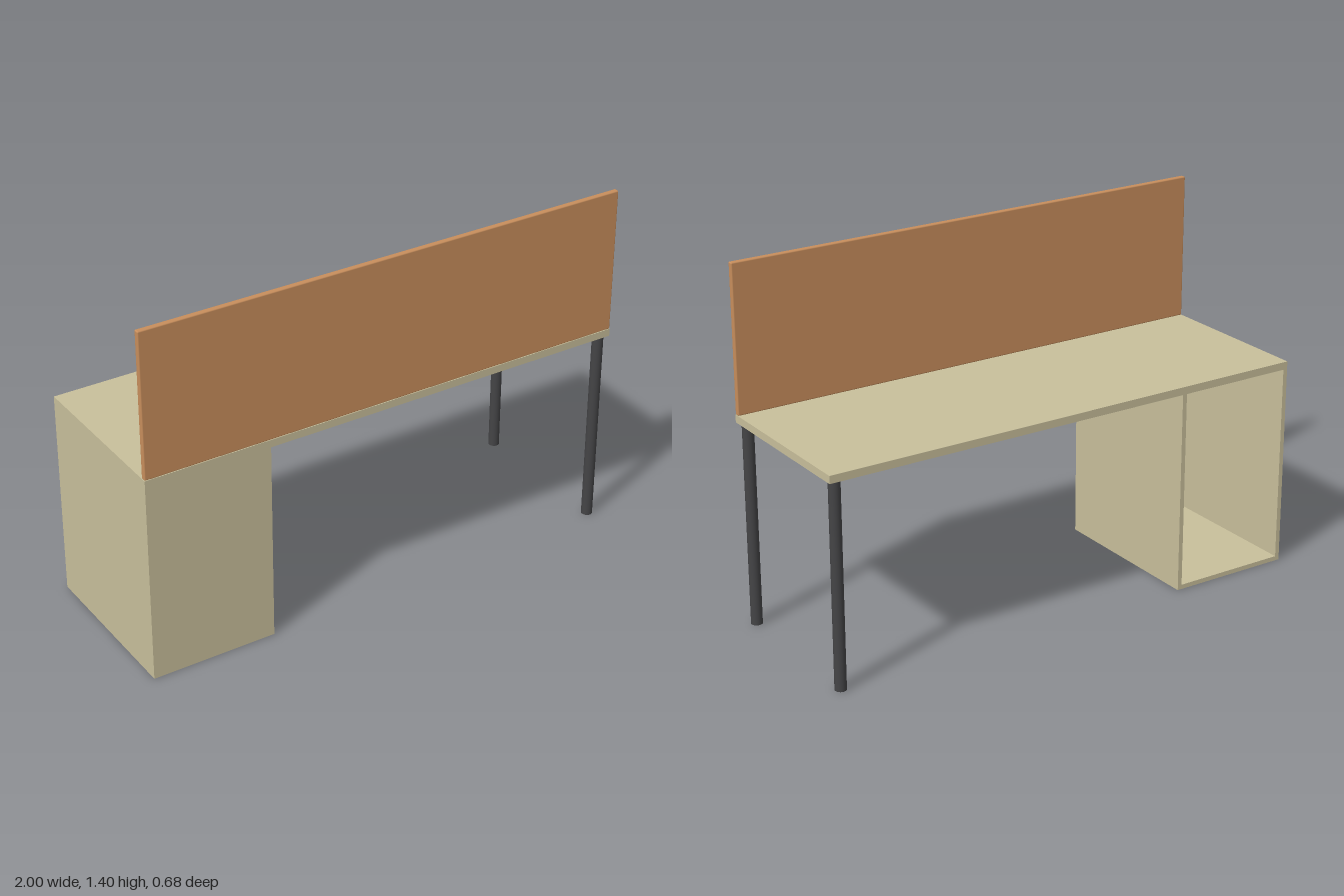
import * as THREE from 'three';
import { RoundedBoxGeometry } from 'three/addons/geometries/RoundedBoxGeometry.js';

const wood = new THREE.MeshStandardMaterial({ color: 0xc8bf9b });
const fabric = new THREE.MeshStandardMaterial({ color: 0xc88e5c });
const metal = new THREE.MeshStandardMaterial({ color: 0x444446 });

export function createModel() {
  const desk = new THREE.Group();
  desk.name = 'desk';

  const add = (parent, name, geometry, material, x, y, z) => {
    const mesh = new THREE.Mesh(geometry, material);
    mesh.name = name;
    mesh.position.set(x, y, z);
    parent.add(mesh);
  };
  // Box given by its minimum and maximum corners
  const panel = (parent, name, [x0, y0, z0], [x1, y1, z1]) =>
    add(parent, name, new THREE.BoxGeometry(x1 - x0, y1 - y0, z1 - z0), wood,
      (x0 + x1) / 2, (y0 + y1) / 2, (z0 + z1) / 2);

  const depth = 0.34; // half depth of the desk
  const under = 0.8;  // underside of the top
  const top = 0.83;
  const t = 0.018;    // cabinet panel thickness

  panel(desk, 'tabletop', [-1, under, -depth], [1, top, depth]);

  // Cabinet, open toward the back where the user sits
  const cabinet = new THREE.Group();
  cabinet.name = 'cabinet';
  panel(cabinet, 'cabinetOuterSide', [-1, 0, -depth], [-1 + t, under, depth]);
  panel(cabinet, 'cabinetInnerSide', [-0.5 - t, 0, -depth], [-0.5, under, depth]);
  panel(cabinet, 'cabinetFloor', [-1 + t, 0, -depth], [-0.5 - t, t, depth]);
  panel(cabinet, 'cabinetFront', [-1 + t, t, depth - t], [-0.5 - t, under, depth]);
  desk.add(cabinet);

  // Privacy screen with softened edges along the front of the top
  const screenHeight = 0.575;
  add(desk, 'privacyScreen', new RoundedBoxGeometry(2, screenHeight, 0.022, 2, 0.005), fabric,
    0, top + screenHeight / 2, depth - 0.011);

  // Two round legs on the side without the cabinet
  const legGeometry = new THREE.CylinderGeometry(0.022, 0.022, under, 24);
  for (const [name, z] of [['frontLeg', 0.312], ['backLeg', -0.312]]) {
    add(desk, name, legGeometry, metal, 0.967, under / 2, z);
  }

  return desk;
}
